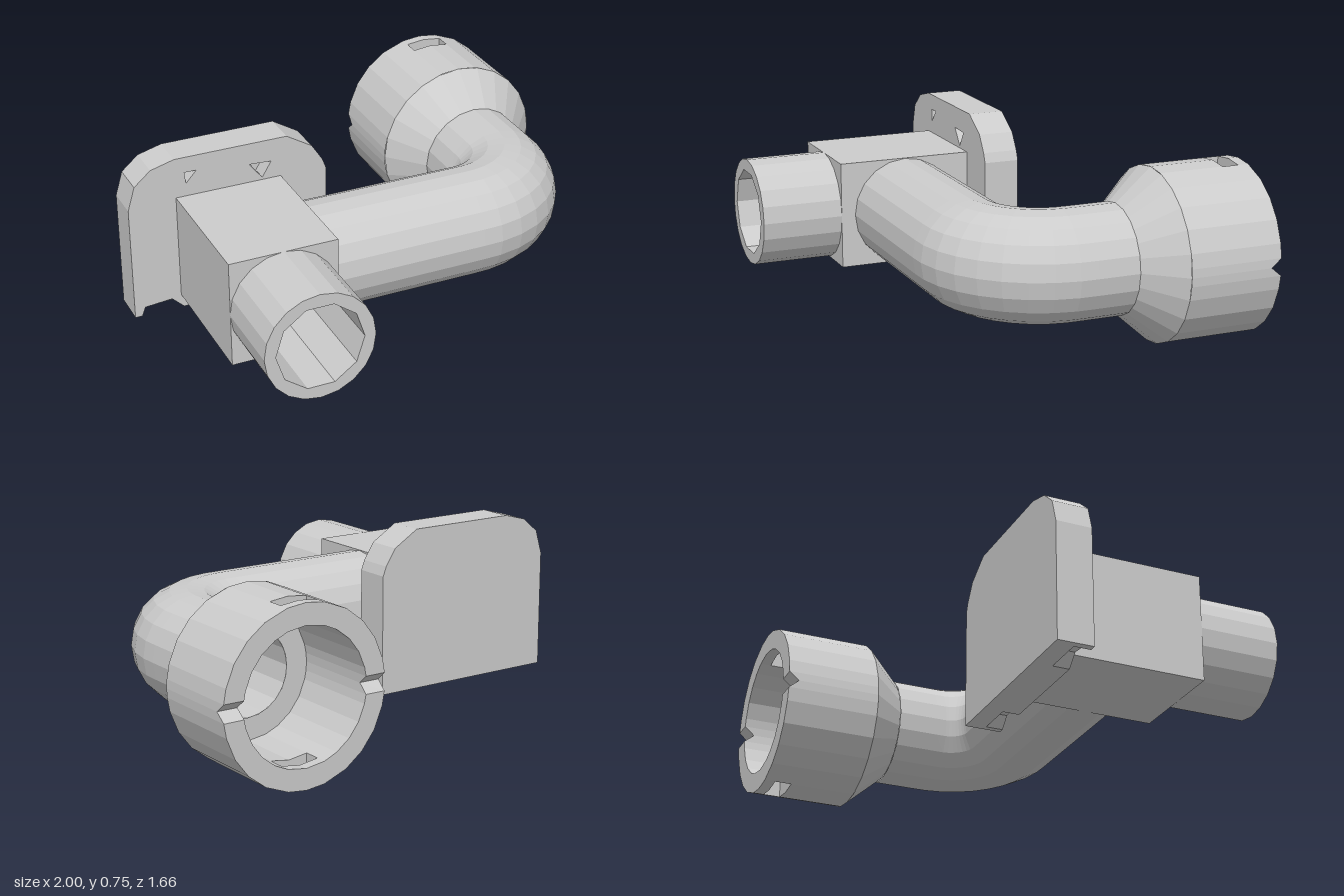
import * as THREE from 'three';

const V = (x, z) => new THREE.Vector3(x, 0.358, z);
const mat = new THREE.MeshStandardMaterial({ color: 0xcccccc, flatShading: true, side: THREE.DoubleSide });

const shapeOf = (pts, Type = THREE.Shape) => new Type(pts.map(p => new THREE.Vector2(p[0], p[1])));

// regular polygon outline around (cx, cy)
function ring(cx, cy, r, n) {
  return Array.from({ length: n }, (_, i) => {
    const a = (i / n) * Math.PI * 2;
    return [cx + r * Math.cos(a), cy + r * Math.sin(a)];
  });
}

// prism from z0 to z1 with optional holes
function prism(outline, holes, z0, z1) {
  const s = shapeOf(outline);
  s.holes = holes.map(h => shapeOf(h, THREE.Path));
  return new THREE.ExtrudeGeometry(s, { depth: z1 - z0, bevelEnabled: false }).translate(0, 0, z0);
}

// straight run, quarter bend, straight run
function elbowPath(endZ) {
  const p = new THREE.CurvePath();
  const k = 0.16;
  p.add(new THREE.LineCurve3(V(-0.36, 0.205), V(0.355, 0.205)));
  p.add(new THREE.CubicBezierCurve3(V(0.355, 0.205), V(0.355 + k, 0.205), V(0.645, -0.085 + k), V(0.645, -0.085)));
  p.add(new THREE.LineCurve3(V(0.645, -0.085), V(0.645, endZ)));
  return p;
}

// thick socket wall as a grid of cells, with two windows and two V notches in the rim
function socketWall() {
  const half = Math.PI / 2;
  // [outer angle, inner angle]; window sides run parallel
  const quarter = [[0, 0], [0.1, 0.13], [0.262, 0.262], [0.524, 0.524], [0.785, 0.785], [1.047, 1.047], [1.344, 1.27]];
  const angles = [];
  for (let q = 0; q < 4; q++) {
    if (q % 2 === 0) angles.push(...quarter.map(a => a.map(t => t + q * half)));
    else {
      angles.push([q * half, q * half]);
      angles.push(...quarter.slice(1).reverse().map(a => a.map(t => (q + 1) * half - t)));
    }
  }
  const n = angles.length;
  const rows = [0.44, 0.715, 0.785, 0.83];
  const isNotch = i => i % (n / 2) === 0;
  const isTop = i => i % (n / 2) === n / 4;
  const solid = (i, j) => {
    i = (i + n) % n;
    return j >= 0 && j < 3 && !(j === 1 && (isTop(i) || isTop((i + 1) % n)));
  };
  const point = (i, j, inner) => {
    i = (i + n) % n;
    const a = angles[i][inner], r = inner ? 0.27 : 0.355;
    const d = j === 3 && isNotch(i) ? 0.788 : rows[j];
    return [r * Math.cos(a), r * Math.sin(a), -d];
  };
  const pos = [];
  const quad = (a, b, c, d) => pos.push(...a, ...b, ...c, ...a, ...c, ...d);
  for (let i = 0; i < n; i++) for (let j = 0; j < 3; j++) {
    if (!solid(i, j)) continue;
    const o = [point(i, j, 0), point(i + 1, j, 0), point(i + 1, j + 1, 0), point(i, j + 1, 0)];
    const m = [point(i, j, 1), point(i + 1, j, 1), point(i + 1, j + 1, 1), point(i, j + 1, 1)];
    quad(o[0], o[3], o[2], o[1]);
    quad(m[0], m[1], m[2], m[3]);
    const open = [j > 0 && !solid(i, j - 1), !solid(i + 1, j), !solid(i, j + 1), !solid(i - 1, j)];
    open.forEach((isOpen, e) => {
      const f = (e + 1) % 4;
      if (isOpen) quad(o[e], o[f], m[f], m[e]);
    });
  }
  const g = new THREE.BufferGeometry();
  g.setAttribute('position', new THREE.Float32BufferAttribute(pos, 3));
  g.computeVertexNormals();
  return g;
}

export function createModel() {
  const model = new THREE.Group();
  const add = (name, geometry, parent = model) => {
    const mesh = new THREE.Mesh(geometry, mat);
    mesh.name = name;
    parent.add(mesh);
    return mesh;
  };

  // mounting plate: plain back, front layer with small recesses
  const sides = [[-0.15, 0.58], [-0.165, 0.62], [-0.21, 0.69], [-0.32, 0.757],
    [-0.8, 0.757], [-0.9, 0.73], [-0.97, 0.67], [-1, 0.57]];
  const notches = [[-0.97, 0.077], [-0.955, 0.115], [-0.84, 0.125], [-0.79, 0.077],
    [-0.335, 0.077], [-0.29, 0.122], [-0.22, 0.12], [-0.175, 0.077]];
  const corners = [[-1, 0.077], [-0.15, 0.077]];
  const dents = [
    [[-0.76, 0.69], [-0.71, 0.69], [-0.755, 0.64]],
    [[-0.485, 0.665], [-0.39, 0.66], [-0.43, 0.595]],
  ];
  const plate = new THREE.Group();
  plate.name = 'mountingPlate';
  model.add(plate);
  add('plateBack', prism([...corners, ...sides], [], -0.23, -0.15), plate);
  add('plateFront', prism([corners[0], ...notches, corners[1], ...sides], dents, -0.15, -0.08), plate);

  // square block and inlet pipe sharing one bore
  const bore = ring(-0.575, 0.36, 0.18, 10);
  add('block', prism([[-0.8, 0.135], [-0.35, 0.135], [-0.35, 0.585], [-0.8, 0.585]], [bore], -0.08, 0.49));
  add('inletPipe', prism(ring(-0.575, 0.36, 0.226, 20), [bore], 0.49, 0.83));

  // bent pipe, outside and inside
  add('elbowPipe', new THREE.TubeGeometry(elbowPath(-0.29), 24, 0.225, 20));
  add('elbowBore', new THREE.TubeGeometry(elbowPath(-0.44), 24, 0.18, 16));

  // flared socket
  const socket = new THREE.Group();
  socket.name = 'socket';
  socket.position.set(0.645, 0.358, 0);
  model.add(socket);
  const lathe = pts => new THREE.LatheGeometry(pts.map(p => new THREE.Vector2(p[0], p[1])), 24).rotateX(-Math.PI / 2);
  add('socketFlare', lathe([[0.222, 0.29], [0.355, 0.44]]), socket);
  add('socketFloor', lathe([[0.275, 0.44], [0.178, 0.44]]), socket);
  add('socketWall', socketWall(), socket);

  return model;
}
